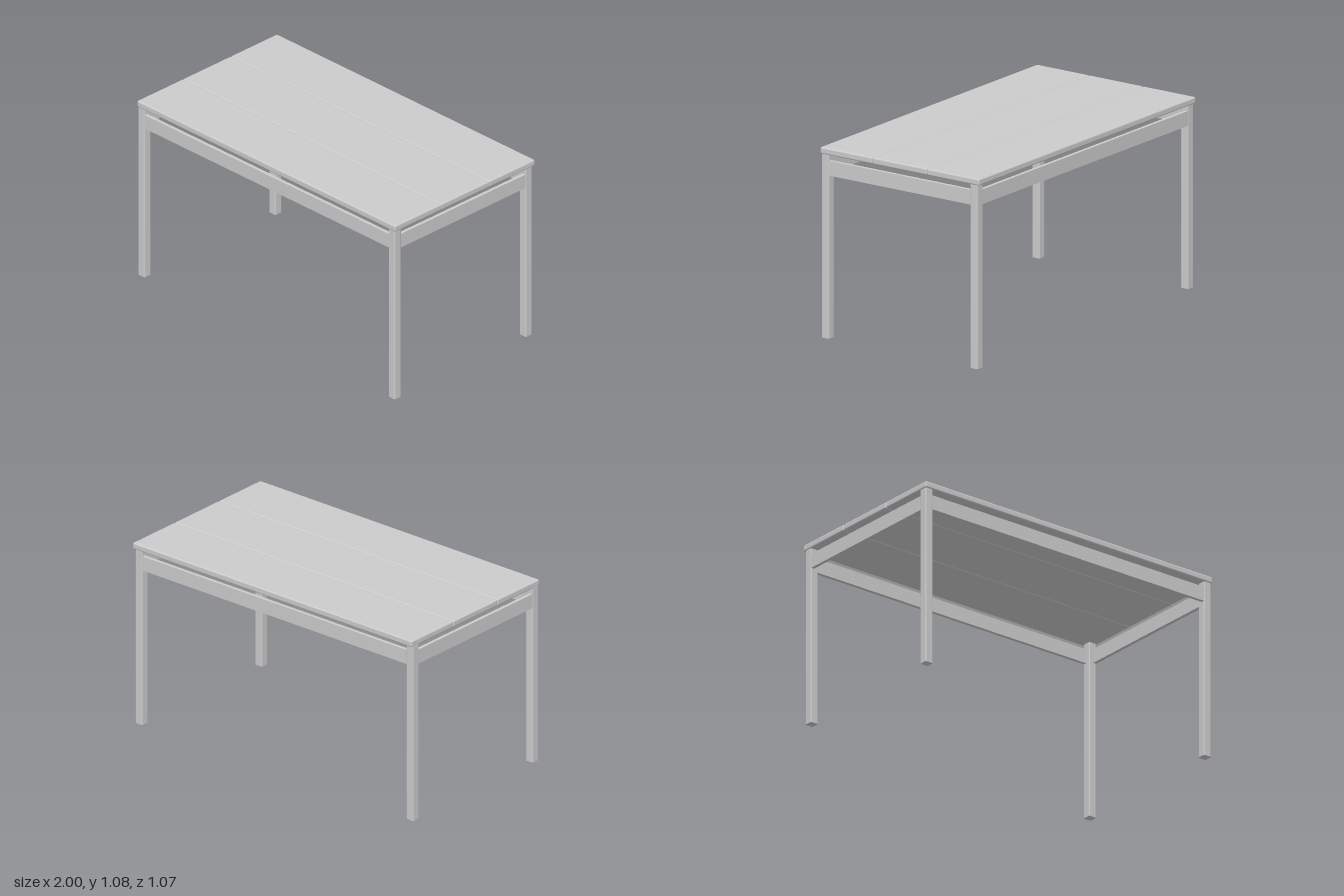
import * as THREE from 'three';
import { RoundedBoxGeometry } from 'three/addons/geometries/RoundedBoxGeometry.js';

const material = new THREE.MeshStandardMaterial({ color: 0xcccccc });

// Square post with softened vertical edges and flat ends, standing on y = 0
function postGeometry(size, height, r) {
  const h = size / 2, k = h - r;
  const s = new THREE.Shape();
  s.absarc(k, k, r, 0, Math.PI / 2);
  s.absarc(-k, k, r, Math.PI / 2, Math.PI);
  s.absarc(-k, -k, r, Math.PI, Math.PI * 1.5);
  s.absarc(k, -k, r, Math.PI * 1.5, Math.PI * 2);
  const g = new THREE.ExtrudeGeometry(s, { depth: height, bevelEnabled: false, curveSegments: 4 });
  return g.rotateX(-Math.PI / 2);
}

export function createModel() {
  const group = new THREE.Group();
  const add = (name, geometry, x, y, z) => {
    const mesh = new THREE.Mesh(geometry, material);
    mesh.name = name;
    mesh.position.set(x, y, z);
    group.add(mesh);
  };

  const top = 1.082, slatH = 0.038, legTop = top - slatH;
  const legSize = 0.05, legX = 0.97, legZ = 0.502, midX = -0.002, midZ = 0.005;

  // Table top: three long boards with rounded edges
  const boards = [['frontBoard', 0.361, 0.352], ['middleBoard', 0, 0.368], ['backBoard', -0.361, 0.352]];
  for (const [name, z, width] of boards) {
    add(name, new RoundedBoxGeometry(2, slatH, width, 3, 0.009), 0, top - slatH / 2, z);
  }

  // Legs
  const leg = postGeometry(legSize, legTop, 0.007);
  for (const [sideX, nameX] of [[1, 'Left'], [-1, 'Right']]) {
    for (const [sideZ, nameZ] of [[1, 'front'], [-1, 'back']]) {
      add(nameZ + nameX + 'Leg', leg, midX + sideX * legX, 0, midZ + sideZ * legZ);
    }
  }

  // Aprons: thin rails close to the outer leg faces, leaving a gap below the boards
  const railH = 0.084, railY = 0.968, railT = 0.02;
  const out = legSize / 2 - railT / 2 - 0.002;
  const longRail = new THREE.BoxGeometry(legX * 2, railH, railT);
  const shortRail = new THREE.BoxGeometry(railT, railH, legZ * 2);
  for (const [side, nameZ, nameX] of [[1, 'front', 'left'], [-1, 'back', 'right']]) {
    add(nameZ + 'Apron', longRail, midX, railY, midZ + side * (legZ + out));
    add(nameX + 'Apron', shortRail, midX + side * (legX + out), railY, midZ);
  }

  return group;
}
